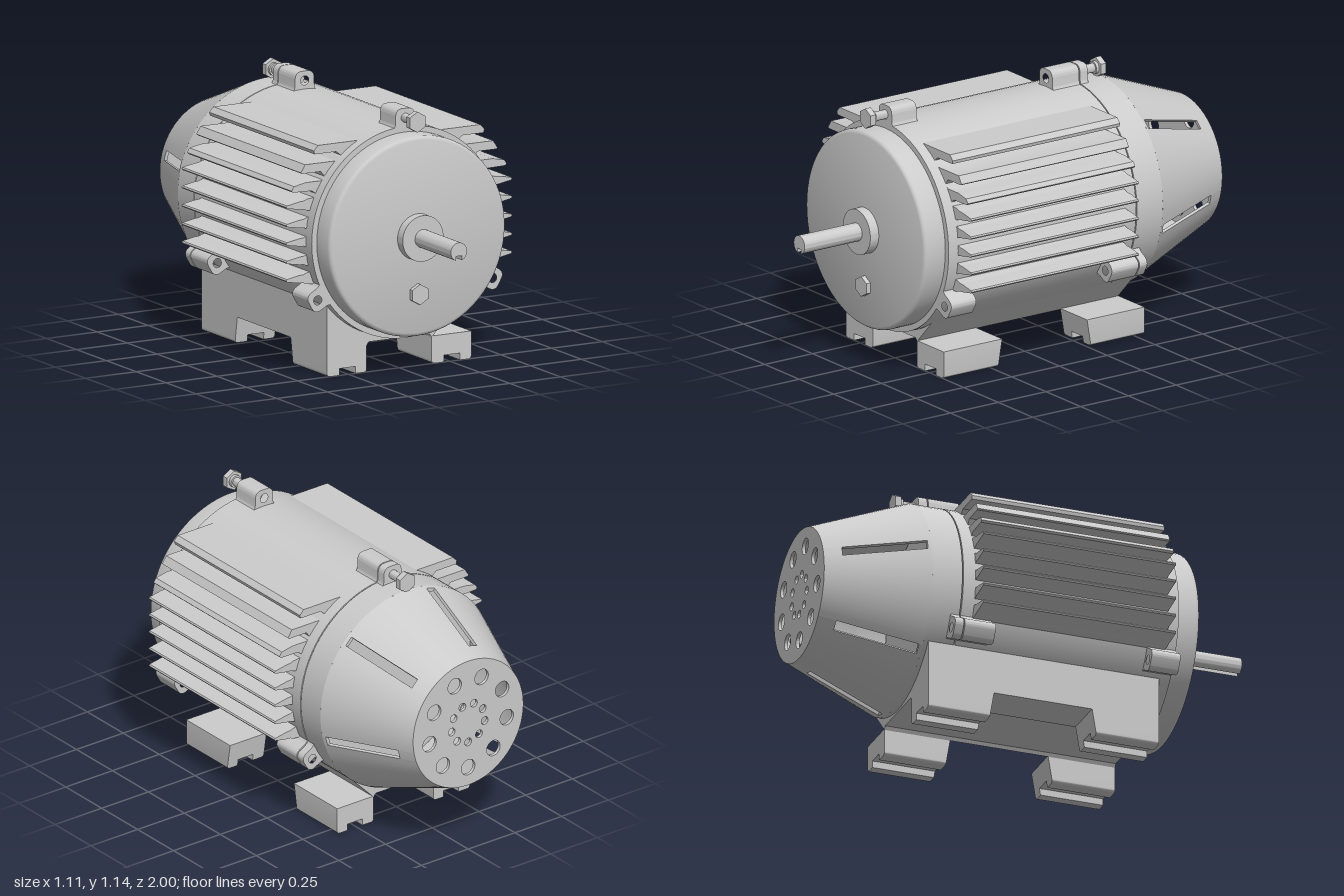
import * as THREE from 'three';
import { toCreasedNormals } from 'three/addons/utils/BufferGeometryUtils.js';

const AXIS = 0.6; // height of the shaft axis
const BODY_R = 0.46;

export function createModel() {
  const model = new THREE.Group();
  model.name = 'electricMotor';
  const grey = new THREE.MeshStandardMaterial({ color: 0xcccccc });

  const add = (name, geometry, x = 0, y = 0, z = 0, parent = model) => {
    const mesh = new THREE.Mesh(toCreasedNormals(geometry, 0.6), grey);
    mesh.name = name;
    mesh.position.set(x, y, z);
    parent.add(mesh);
    return mesh;
  };
  // profile points are [radius, z], running from rear to front on the outside
  const turned = (points) =>
    new THREE.LatheGeometry(points.map((p) => new THREE.Vector2(...p)), 72).rotateX(Math.PI / 2);
  const rod = (r, z0, z1, sides = 24) =>
    new THREE.CylinderGeometry(r, r, z1 - z0, sides).rotateX(Math.PI / 2).translate(0, 0, (z0 + z1) / 2);
  const extrude = (shape, z0, z1) =>
    new THREE.ExtrudeGeometry(shape, { depth: z1 - z0, bevelEnabled: false, curveSegments: 24 }).translate(0, 0, z0);
  const polygon = (points) => new THREE.Shape(points.map((p) => new THREE.Vector2(...p)));
  const hole = (x, y, r) => new THREE.Path().absarc(x, y, r, 0, Math.PI * 2, true);

  // Round housing, front cover and bearing boss
  add('housing', turned([[0, -0.43], [BODY_R, -0.43], [BODY_R, 0.55], [0, 0.55]]), 0, AXIS);
  add('frontCover', turned([[0.435, 0.55], [0.435, 0.638], [0.432, 0.647], [0.427, 0.653], [0.418, 0.656], [0, 0.656]]), 0, AXIS);
  add('bearingBoss', turned([[0.1, 0.65], [0.1, 0.7], [0, 0.7]]), 0, AXIS);

  // Shaft with keyway on its underside
  const key = Math.asin(0.35);
  const shaft = new THREE.Shape();
  shaft.absarc(0, 0, 0.04, -Math.PI / 2 + key, 1.5 * Math.PI - key, false);
  shaft.lineTo(-0.014, -0.018);
  shaft.lineTo(0.014, -0.018);
  add('shaft', extrude(shaft, 0.69, 1), 0, AXIS);

  // Cooling fins, mirrored left and right
  const topFins = [
    [[0.2, 1.012], [0.4, 1.012], [0.42, 0.99], [0.416, 0.975], [0.31, 0.975], [0.285, 0.955], [0.25, 0.94]],
    [[0.28, 0.955], [0.315, 0.935], [0.463, 0.935], [0.484, 0.902], [0.478, 0.897], [0.385, 0.897], [0.365, 0.87], [0.33, 0.87]],
    [[0.34, 0.885], [0.385, 0.857], [0.46, 0.857], [0.517, 0.846], [0.53, 0.828], [0.522, 0.82], [0.43, 0.818], [0.405, 0.8], [0.37, 0.8]],
  ];
  const sideFins = [0.76, 0.68, 0.6, 0.52, 0.44].map((y) => [
    [0.4, y + 0.03], [0.453, y + 0.025], [0.472, y + 0.018], [0.49, y + 0.017], [0.552, y + 0.006], [0.556, y],
    [0.552, y - 0.006], [0.49, y - 0.017], [0.472, y - 0.018], [0.453, y - 0.025], [0.4, y - 0.03],
  ]);
  for (const side of [-1, 1]) {
    for (const fin of [...topFins, ...sideFins]) {
      add('coolingFin', extrude(polygon(fin.map(([x, y]) => [side * x, y])), -0.375, 0.5));
    }
  }

  // Drilled lugs at three places around the housing, at both ends
  const lug = new THREE.Shape();
  lug.moveTo(-0.07, 0.44);
  lug.quadraticCurveTo(-0.047, 0.455, -0.047, 0.48);
  lug.lineTo(-0.047, 0.505);
  lug.quadraticCurveTo(-0.045, 0.538, -0.015, 0.538);
  lug.lineTo(0.015, 0.538);
  lug.quadraticCurveTo(0.045, 0.538, 0.047, 0.505);
  lug.lineTo(0.047, 0.48);
  lug.quadraticCurveTo(0.047, 0.455, 0.07, 0.44);
  lug.holes.push(hole(0, 0.497, 0.02));
  for (let i = 0; i < 3; i++) {
    for (const [name, z0, z1] of [['frontLug', 0.42, 0.55], ['rearLug', -0.43, -0.29], ['cowlLug', -0.475, -0.435]]) {
      add(name, extrude(lug, z0, z1), 0, AXIS).rotation.z = (i * Math.PI * 2) / 3;
    }
  }

  // Hexagon bolts; dir is +1 for the front and -1 for the rear
  const addBolt = (name, y, zHead, length, dir) => {
    const bolt = new THREE.Group();
    bolt.name = name;
    bolt.position.set(0, y, zHead);
    if (dir < 0) bolt.rotation.y = Math.PI;
    add('boltHead', rod(0.045, -0.028, 0, 6), 0, 0, 0, bolt);
    add('boltCollar', rod(0.028, -0.042, -0.028), 0, 0, 0, bolt);
    add('boltShank', rod(0.02, -length, -0.042), 0, 0, 0, bolt);
    model.add(bolt);
  };
  addBolt('topFrontBolt', AXIS + 0.497, 0.655, 0.2, 1);
  addBolt('topRearBolt', AXIS + 0.497, -0.577, 0.25, -1);
  addBolt('coverBolt', 0.352, 0.677, 0.1, 1);

  // Base cradle under the housing
  const cradle = new THREE.Shape();
  const sweep = Math.acos(0.355 / 0.455);
  cradle.moveTo(0.355, 0.115);
  cradle.absarc(0, AXIS, 0.455, -sweep, -Math.PI + sweep, true);
  for (const [x, y] of [[-0.355, 0.115], [-0.16, 0.115], [-0.15, 0.13], [0.15, 0.13], [0.16, 0.115]]) cradle.lineTo(x, y);
  add('baseCradle', extrude(cradle, -0.55, 0.5));

  // Four feet with a groove underneath and a sloping inner face
  const foot = new THREE.Shape();
  foot.moveTo(0.16, 0.12);
  foot.lineTo(0.16, 0.015);
  foot.quadraticCurveTo(0.16, 0, 0.175, 0);
  for (const [x, y] of [[0.22, 0], [0.22, 0.03], [0.3, 0.03], [0.3, 0]]) foot.lineTo(x, y);
  foot.lineTo(0.34, 0);
  foot.quadraticCurveTo(0.355, 0, 0.355, 0.015);
  foot.lineTo(0.355, 0.12);
  for (const x of [-0.515, 0]) {
    for (const [name, z0, z1, inner, slope] of [['frontFoot', 0.215, 0.5, 0.215, -0.17], ['rearFoot', -0.55, -0.27, -0.27, 0.17]]) {
      const geometry = extrude(foot, z0, z1);
      const p = geometry.attributes.position;
      for (let i = 0; i < p.count; i++) {
        if (Math.abs(p.getZ(i) - inner) < 1e-4) p.setZ(i, inner + slope * p.getY(i));
      }
      add(name, geometry, x);
    }
  }

  // Hollow fan cowl: straight collar, then a cone with six slots
  add('cowlCollar', turned([[0.445, -0.57], [BODY_R, -0.57], [BODY_R, -0.435], [0.445, -0.435], [0.445, -0.57]]), 0, AXIS);
  const coneR = (z) => BODY_R + (z + 0.57) * (0.165 / 0.43);
  const halfSlot = (z) => 0.022 / coneR(z);
  // A box bent round the axis; from and to give its edge angles at each z
  const conePanel = (from, to, z0, z1, segments) => {
    const geometry = new THREE.BoxGeometry(1, 1, 1, segments, 1, 1);
    const p = geometry.attributes.position;
    for (let i = 0; i < p.count; i++) {
      const z = THREE.MathUtils.lerp(z0, z1, p.getZ(i) + 0.5);
      const a = THREE.MathUtils.lerp(from(z), to(z), p.getX(i) + 0.5);
      const r = coneR(z) - (p.getY(i) < 0 ? 0.015 : 0);
      p.setXYZ(i, r * Math.sin(a), r * Math.cos(a), z);
    }
    return geometry;
  };
  for (let i = 0; i < 6; i++) {
    const a = THREE.MathUtils.degToRad(-15 + 60 * i);
    const left = (z) => a - halfSlot(z);
    const right = (z) => a + halfSlot(z);
    const next = (z) => a + Math.PI / 3 - halfSlot(z);
    add('cowlPanel', conePanel(right, next, -1, -0.57, 12), 0, AXIS);
    add('cowlSlotFrontBridge', conePanel(left, right, -0.585, -0.57, 2), 0, AXIS);
    add('cowlSlotRearBridge', conePanel(left, right, -1, -0.925, 2), 0, AXIS);
  }

  // Perforated end plate with two rings of holes
  const plate = new THREE.Shape().absarc(0, 0, 0.285, 0, Math.PI * 2, false);
  for (let i = 0; i < 9; i++) {
    const a = Math.PI + (i * Math.PI * 2) / 9;
    plate.holes.push(hole(0.21 * Math.sin(a), 0.21 * Math.cos(a), 0.036));
    plate.holes.push(hole(0.09 * Math.sin(a), 0.09 * Math.cos(a), 0.018));
  }
  add('cowlEndPlate', extrude(plate, -1, -0.985), 0, AXIS);

  return model;
}
